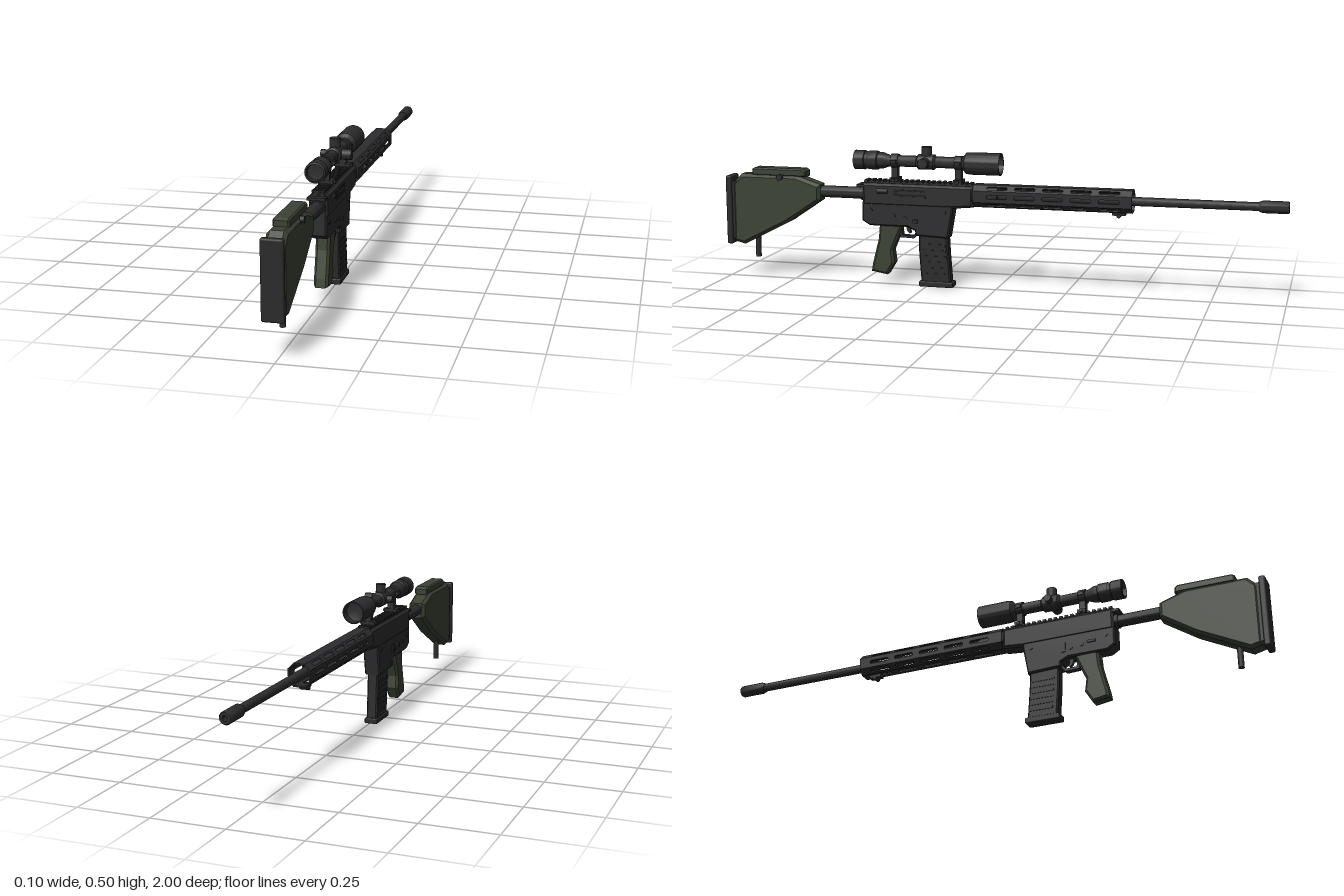
import * as THREE from 'three';
import { toCreasedNormals } from 'three/addons/utils/BufferGeometryUtils.js';
import { RoundedBoxGeometry } from 'three/addons/geometries/RoundedBoxGeometry.js';

export function createModel() {
  const mat = (name, color) => {
    const m = new THREE.MeshStandardMaterial({ color });
    m.name = name;
    return m;
  };
  const metal = mat('dark metal', 0x2d2d2f);
  const black = mat('black polymer', 0x2a2a2b);
  const recess = mat('recess black', 0x1c1c1e);
  const green = mat('olive polymer', 0x3b4234);

  const root = new THREE.Group();
  root.name = 'rifle';
  root.position.x = -0.005;

  const add = (name, geo, material, x = 0, y = 0, z = 0, parent = root) => {
    const m = new THREE.Mesh(geo, material);
    m.name = name;
    m.position.set(x, y, z);
    parent.add(m);
    return m;
  };
  const box = (name, material, w, h, d, x, y, z) =>
    add(name, new THREE.BoxGeometry(w, h, d), material, x, y, z);
  const crease = (g) => toCreasedNormals(g, 0.6);

  // Side outline in (z, y), extruded across x and centred
  const slab = (pts, width, bevel = 0, holes = []) => {
    const shape = new THREE.Shape(pts.map(([a, b]) => new THREE.Vector2(a, b)));
    holes.forEach((h) => shape.holes.push(h));
    const g = new THREE.ExtrudeGeometry(shape, {
      depth: width - 2 * bevel, bevelEnabled: bevel > 0, bevelSize: bevel,
      bevelThickness: bevel, bevelOffset: -bevel, bevelSegments: 1, curveSegments: 6,
    });
    g.translate(0, 0, -(width - 2 * bevel) / 2);
    return g.rotateY(-Math.PI / 2);
  };
  // Turned part along z from [radius, z] points, listed from low z to high z
  const turned = (pts, sides = 28) =>
    crease(new THREE.LatheGeometry(pts.map(([r, z]) => new THREE.Vector2(r, z)), sides).rotateX(Math.PI / 2));
  // Rod along the x axis
  const crossRod = (r, len, sides = 18) => new THREE.CylinderGeometry(r, r, len, sides).rotateZ(Math.PI / 2);

  // Stock
  add('stock', slab([[0.975, 0.345], [0.94, 0.38], [0.73, 0.38], [0.64, 0.35], [0.64, 0.293],
    [0.76, 0.212], [0.935, 0.122], [0.975, 0.132]], 0.064, 0.011), green);
  add('cheekRest', slab([[0.9, 0.375], [0.9, 0.398], [0.89, 0.404], [0.705, 0.404], [0.695, 0.396],
    [0.695, 0.375]], 0.052, 0.005), green);
  add('buttPad', new RoundedBoxGeometry(0.07, 0.25, 0.022, 2, 0.006), black, 0, 0.247, 0.989);
  box('buttPadSpacer', black, 0.056, 0.21, 0.02, 0, 0.247, 0.969);
  add('cheekKnob', crossRod(0.011, 0.014), metal, 0.035, 0.373, 0.79);
  add('monopod', new THREE.CylinderGeometry(0.01, 0.01, 0.08, 16), metal, 0, 0.114, 0.893);

  // Stock tube and lock ring
  add('stockTube', turned([[0, 0.47], [0.021, 0.47], [0.021, 0.66], [0, 0.66]]), metal, 0, 0.324);
  add('lockRing', turned([[0, 0.47], [0.025, 0.47], [0.025, 0.492], [0, 0.492]]), metal, 0, 0.324);

  // Receiver
  add('upperReceiver', slab([[0.48, 0.285], [0.48, 0.364], [0.075, 0.364], [0.075, 0.292], [0.15, 0.285]],
    0.062, 0.008), metal);
  add('lowerReceiver', slab([[0.482, 0.296], [0.482, 0.23], [0.455, 0.213], [0.315, 0.213], [0.288, 0.2],
    [0.285, 0.183], [0.167, 0.178], [0.15, 0.275], [0.15, 0.296]], 0.058, 0.005), metal);
  box('railBase', metal, 0.036, 0.008, 0.4, 0, 0.366, 0.277);
  for (let i = 0; i < 20; i++) box('railTooth', metal, 0.042, 0.007, 0.011, 0, 0.372, 0.468 - i * 0.02);
  box('ejectionPort', recess, 0.004, 0.024, 0.115, 0.03, 0.334, 0.305);
  box('portCover', metal, 0.006, 0.006, 0.12, 0.031, 0.32, 0.305);
  box('bolt', metal, 0.004, 0.01, 0.1, 0.031, 0.335, 0.3);
  add('forwardAssist', new THREE.CylinderGeometry(0.009, 0.009, 0.04, 14).rotateX(Math.PI / 2),
    metal, 0.028, 0.338, 0.405);
  box('chargingHandle', metal, 0.06, 0.009, 0.028, 0, 0.354, 0.487);
  for (const [z, y] of [[0.45, 0.268], [0.365, 0.25], [0.325, 0.245], [0.18, 0.272]])
    add('receiverPin', crossRod(0.007, 0.063), metal, 0, y, z);
  box('boltCatch', metal, 0.006, 0.035, 0.014, -0.03, 0.25, 0.3);
  box('selector', metal, 0.008, 0.008, 0.03, -0.03, 0.255, 0.4);
  box('magazineRelease', metal, 0.006, 0.012, 0.016, 0.031, 0.235, 0.285);

  // Trigger and guard
  add('triggerGuard', slab([[0.354, 0.22], [0.347, 0.172], [0.297, 0.17], [0.278, 0.19], [0.284, 0.198],
    [0.3, 0.179], [0.338, 0.181], [0.343, 0.22]], 0.022), metal);
  add('trigger', slab([[0.328, 0.215], [0.322, 0.195], [0.313, 0.185], [0.309, 0.188], [0.312, 0.215]], 0.012), metal);

  // Pistol grip
  add('grip', slab([[0.42, 0.222], [0.335, 0.218], [0.352, 0.175], [0.373, 0.125], [0.367, 0.08],
    [0.394, 0.036], [0.453, 0.046], [0.448, 0.075], [0.425, 0.165]], 0.048, 0.008), green);

  // Magazine with ribs and floor plate
  add('magazine', slab([[0.277, 0.2], [0.276, 0.12], [0.268, 0.015], [0.16, 0.015], [0.168, 0.12],
    [0.172, 0.2]], 0.04, 0.005), black);
  for (let i = 0; i < 6; i++)
    box('magazineRib', black, 0.044, 0.008, 0.082, 0, 0.045 + i * 0.021, 0.212 + i * 0.0015);
  add('magazineFloor', new RoundedBoxGeometry(0.048, 0.02, 0.124, 2, 0.004), black, 0, 0.01, 0.214);

  // Eight-sided hollow handguard with slotted panels
  const guard = new THREE.Group();
  guard.name = 'handguard';
  guard.position.set(0, 0.333, -0.2025);
  root.add(guard);
  const quarter = [[0.039, -0.02], [0.039, 0.02], [0.02, 0.039], [-0.02, 0.039]];
  const ring = [...quarter, ...quarter.map(([x, y]) => [-x, -y])];
  const half = 0.2775, thick = 0.005;
  ring.forEach(([x0, y0], i) => {
    const [x1, y1] = ring[(i + 1) % 8];
    const len = Math.hypot(x1 - x0, y1 - y0) / 2;
    const n = Math.atan2(x0 - x1, y1 - y0);
    const slots = [];
    if (i !== 2) for (let k = 0; k < 5; k++) {
      const c = -0.2 + k * 0.098, r = 0.0065, s = 0.03;
      const hole = new THREE.Path();
      hole.absarc(c + s, 0, r, -Math.PI / 2, Math.PI / 2, false);
      hole.absarc(c - s, 0, r, Math.PI / 2, Math.PI * 1.5, false);
      hole.closePath();
      slots.push(hole);
    }
    const panel = add('handguardPanel', slab([[-half, -len], [half, -len], [half, len], [-half, len]], thick, 0, slots),
      metal, (x0 + x1) / 2 - Math.cos(n) * thick / 2, (y0 + y1) / 2 - Math.sin(n) * thick / 2, 0, guard);
    panel.rotation.z = n;
  });
  add('barrelNut', turned([[0, -0.01], [0.033, -0.01], [0.033, 0.08], [0, 0.08]]), metal, 0, 0.333);
  box('slingMount', metal, 0.024, 0.012, 0.045, 0, 0.289, -0.432);
  add('slingStud', crossRod(0.007, 0.03), metal, 0, 0.282, -0.432);

  // Barrel and muzzle device
  add('barrel', turned([[0, -0.92], [0.0145, -0.92], [0.0165, 0.05], [0, 0.05]]), metal, 0, 0.333);
  add('muzzle', turned([[0, -0.97], [0.009, -0.97], [0.009, -1], [0.018, -1], [0.021, -0.995],
    [0.021, -0.912], [0.016, -0.9], [0, -0.9]]), metal, 0, 0.333);

  // Scope
  const sy = 0.443;
  add('scopeBody', turned([[0, 0.02], [0.034, 0.01], [0.035, -0.018], [0.039, -0.018], [0.039, 0.085],
    [0.037, 0.105], [0.022, 0.118], [0.02, 0.12], [0.02, 0.385], [0.029, 0.41], [0.029, 0.425],
    [0.033, 0.428], [0.033, 0.46], [0.031, 0.463], [0.031, 0.472], [0.034, 0.475], [0.034, 0.512],
    [0.028, 0.514], [0.026, 0.5], [0, 0.497]], 36), metal, 0, sy);
  add('turretHousing', turned([[0, 0.215], [0.02, 0.215], [0.027, 0.222], [0.027, 0.278], [0.02, 0.285],
    [0, 0.285]]), metal, 0, sy, 0);
  add('topTurret', new THREE.CylinderGeometry(0.018, 0.018, 0.032, 24), metal, 0, 0.481, 0.25);
  add('rightTurret', crossRod(0.018, 0.032, 24), metal, 0.041, sy, 0.25);
  add('leftTurret', crossRod(0.013, 0.027, 24), metal, -0.0335, sy, 0.25);

  // Scope rings and clamps
  for (const z of [0.365, 0.133]) {
    add('scopeRing', turned([[0, z - 0.013], [0.025, z - 0.013], [0.025, z + 0.013], [0, z + 0.013]]), metal, 0, sy);
    box('ringPost', metal, 0.024, 0.045, 0.022, 0, 0.4, z);
    box('ringClamp', metal, 0.05, 0.014, 0.03, 0, 0.378, z);
    add('clampNut', crossRod(0.007, 0.062, 6), metal, 0, 0.378, z);
    for (const s of [-1, 1]) box('ringEar', metal, 0.008, 0.012, 0.02, s * 0.026, sy, z);
  }

  const model = new THREE.Group();
  model.name = 'model';
  model.add(root);
  return model;
}
